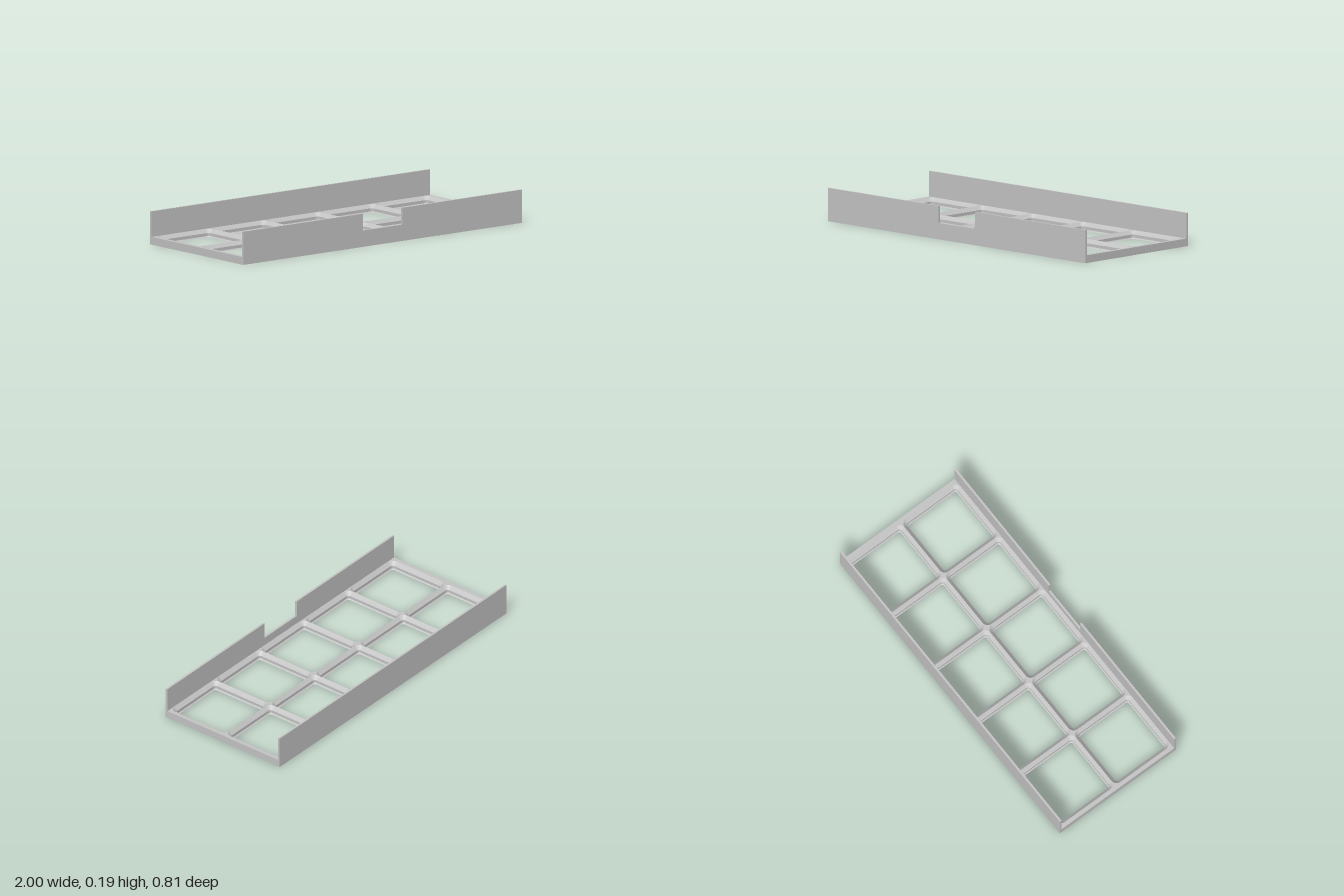
import * as THREE from 'three';
import { toCreasedNormals } from 'three/addons/utils/BufferGeometryUtils.js';

const PITCH = 0.3907, COLS = 5, ROWS = 2;
const BASE_H = 0.0435, WALL_H = 0.187, WALL_T = 0.012;
const HALF_X = 1, HALF_Z = 0.405, INNER_Z = HALF_Z - WALL_T;

// Socket profile from bottom to top: height, half width, corner radius
const PROFILE = [
  [0, 0.1688, 0.0107],
  [0.0065, 0.1753, 0.0172],
  [0.0233, 0.1753, 0.0172],
  [BASE_H, 0.195, 0.0369],
];

// Points around a rounded square
function roundedSquare(half, radius, steps = 8) {
  const points = [];
  for (let corner = 0; corner < 4; corner++) {
    const mid = (corner + 0.5) * Math.PI / 2;
    const cx = Math.sign(Math.cos(mid)) * (half - radius);
    const cz = Math.sign(Math.sin(mid)) * (half - radius);
    for (let i = 0; i <= steps; i++) {
      const a = (corner + i / steps) * Math.PI / 2;
      points.push(new THREE.Vector2(cx + radius * Math.cos(a), cz + radius * Math.sin(a)));
    }
  }
  return points;
}

// Skin joining closed loops; rising loops face inward, falling loops outward
function loft(loops) {
  const position = [];
  for (let k = 0; k < loops.length - 1; k++) {
    const lo = loops[k], hi = loops[k + 1], n = lo.points.length;
    for (let i = 0; i < n; i++) {
      const j = (i + 1) % n;
      const a = [lo.points[i].x, lo.y, lo.points[i].y];
      const b = [lo.points[j].x, lo.y, lo.points[j].y];
      const c = [hi.points[j].x, hi.y, hi.points[j].y];
      const d = [hi.points[i].x, hi.y, hi.points[i].y];
      position.push(...a, ...b, ...c, ...a, ...c, ...d);
    }
  }
  const geometry = new THREE.BufferGeometry();
  geometry.setAttribute('position', new THREE.Float32BufferAttribute(position, 3));
  geometry.computeVertexNormals();
  return toCreasedNormals(geometry, 0.5);
}

function outline() {
  return [[HALF_X, -INNER_Z], [HALF_X, INNER_Z], [-HALF_X, INNER_Z], [-HALF_X, -INNER_Z]]
    .map(([x, z]) => new THREE.Vector2(x, z));
}

export function createModel() {
  const group = new THREE.Group();
  const grey = new THREE.MeshStandardMaterial({ color: 0xc4c4c4 });
  grey.name = 'grey plastic';
  const add = (name, geometry, parent = group) => {
    const mesh = new THREE.Mesh(geometry, grey);
    mesh.name = name;
    parent.add(mesh);
    return mesh;
  };

  const centres = [];
  for (let r = 0; r < ROWS; r++)
    for (let c = 0; c < COLS; c++)
      centres.push([(c - (COLS - 1) / 2) * PITCH, (r - (ROWS - 1) / 2) * PITCH]);

  // Flat face of the grid, pierced by every socket
  const gridFace = ([, half, radius]) => {
    const shape = new THREE.Shape(outline());
    for (const [x, z] of centres) {
      const points = roundedSquare(half, radius).map(p => new THREE.Vector2(p.x + x, p.y + z));
      shape.holes.push(new THREE.Path(points));
    }
    return new THREE.ShapeGeometry(shape);
  };

  // Base grid
  const base = new THREE.Group();
  base.name = 'baseGrid';
  group.add(base);
  add('gridTop', gridFace(PROFILE[3]).rotateX(-Math.PI / 2).translate(0, BASE_H, 0), base);
  add('gridUnderside', gridFace(PROFILE[0]).rotateX(Math.PI / 2), base);
  add('gridRim', loft([{ y: BASE_H, points: outline() }, { y: 0, points: outline() }]), base);

  // Stepped, chamfered sockets
  const socket = loft(PROFILE.map(([y, half, radius]) => ({ y, points: roundedSquare(half, radius) })));
  for (const [x, z] of centres) add('socketWall', socket, base).position.set(x, 0, z);

  // Tall side walls; the front one has a finger notch
  const wall = (notch) => {
    const p = [[-HALF_X, 0], [HALF_X, 0], [HALF_X, WALL_H]];
    if (notch) p.push([0.142, WALL_H], [0.142, 0.092], [-0.142, 0.092], [-0.142, WALL_H]);
    p.push([-HALF_X, WALL_H]);
    const shape = new THREE.Shape(p.map(([x, y]) => new THREE.Vector2(x, y)));
    return new THREE.ExtrudeGeometry(shape, { depth: WALL_T, bevelEnabled: false });
  };
  add('frontWall', wall(true)).position.z = INNER_Z;
  add('backWall', wall(false)).position.z = -HALF_Z;

  return group;
}
